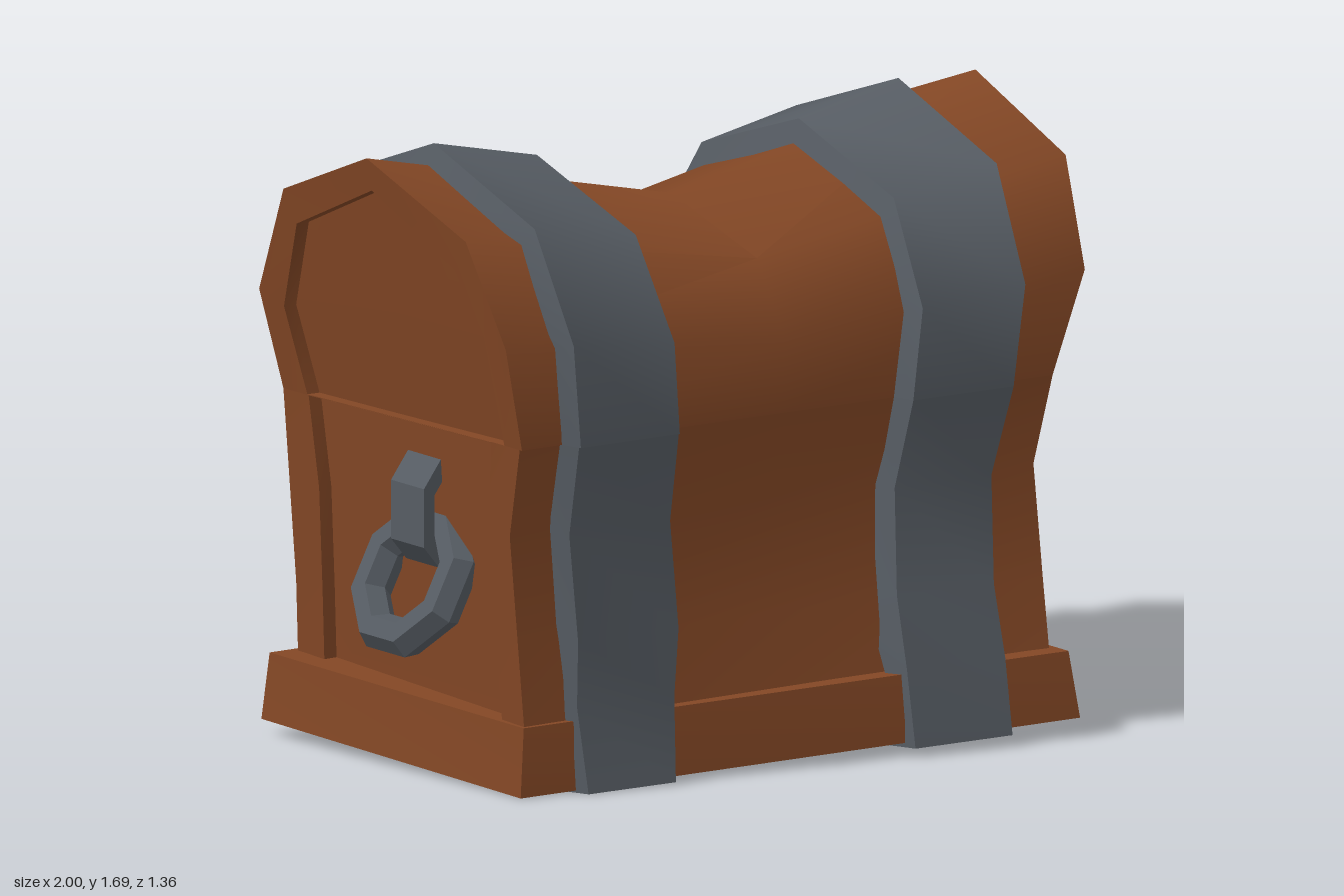
import * as THREE from 'three';
import { toCreasedNormals } from 'three/addons/utils/BufferGeometryUtils.js';

// Linear interpolation in a small table
function table(keys, values, k) {
  if (k <= keys[0]) return values[0];
  for (let i = 1; i < keys.length; i++) {
    if (k <= keys[i]) {
      const t = (k - keys[i - 1]) / (keys[i] - keys[i - 1]);
      return values[i - 1] + (values[i] - values[i - 1]) * t;
    }
  }
  return values[values.length - 1];
}

// Skin closed loops of [x, y, z] points and cap both ends
function loft(loops, crease = 0.9) {
  const n = loops[0].length, pos = [], index = [];
  loops.forEach((loop) => loop.forEach((p) => pos.push(...p)));
  for (let k = 0; k < loops.length - 1; k++) {
    for (let i = 0; i < n; i++) {
      const j = (i + 1) % n;
      const a = k * n + i, b = k * n + j, c = b + n, d = a + n;
      index.push(a, d, c, a, c, b);
    }
  }
  [0, loops.length - 1].forEach((k) => {
    const centre = pos.length / 3;
    for (let axis = 0; axis < 3; axis++) {
      pos.push(loops[k].reduce((sum, p) => sum + p[axis], 0) / n);
    }
    for (let i = 0; i < n; i++) {
      const a = k * n + i, b = k * n + ((i + 1) % n);
      if (k === 0) index.push(centre, a, b);
      else index.push(centre, b, a);
    }
  });
  const g = new THREE.BufferGeometry();
  g.setAttribute('position', new THREE.Float32BufferAttribute(pos, 3));
  g.setIndex(index);
  return toCreasedNormals(g, crease);
}

// Profiles as [z, y], running from the front over to the back
const LID = {
  left: [[0.5, 0.97], [0.5, 1.25], [0.38, 1.53], [-0.03, 1.69], [-0.45, 1.53], [-0.63, 1.22], [-0.59, 0.95]],
  mid: [[0.48, 0.96], [0.49, 1.16], [0.36, 1.36], [-0.03, 1.47], [-0.4, 1.36], [-0.54, 1.15], [-0.55, 0.94]],
  right: [[0.55, 0.97], [0.57, 1.25], [0.42, 1.53], [-0.03, 1.68], [-0.45, 1.53], [-0.645, 1.22], [-0.61, 0.93]],
  panel: [[0.47, 0.97], [0.475, 1.27], [0.35, 1.44], [-0.03, 1.59], [-0.41, 1.44], [-0.54, 1.19], [-0.5, 0.93]],
};
const BODY = {
  left: [[0.44, 0.18], [0.43, 0.42], [0.42, 0.72], [0.49, 0.97], [-0.59, 0.95], [-0.585, 0.7], [-0.58, 0.42], [-0.59, 0.18]],
  mid: [[0.51, 0.18], [0.48, 0.42], [0.44, 0.72], [0.48, 0.96], [-0.55, 0.94], [-0.55, 0.7], [-0.56, 0.42], [-0.6, 0.18]],
  right: [[0.6, 0.2], [0.55, 0.42], [0.485, 0.72], [0.55, 0.97], [-0.61, 0.93], [-0.595, 0.7], [-0.6, 0.42], [-0.62, 0.2]],
  panel: [[0.5, 0.2], [0.45, 0.42], [0.39, 0.74], [0.42, 0.97], [-0.495, 0.93], [-0.46, 0.7], [-0.48, 0.42], [-0.5, 0.2]],
};

// Distance of the flared chest end from the centre at height y
const endX = (side, y) => table([0.2, 0.96, 1.22, 1.53, 1.69],
  side < 0 ? [0.82, 0.87, 0.92, 0.97, 1] : [0.79, 0.83, 0.92, 0.97, 1], y);

// Wooden shell with a sunken panel at each end
function shell(p) {
  const inset = p.left.map(([z, y], i) => [z + p.panel[i][0] - p.right[i][0], y + p.panel[i][1] - p.right[i][1]]);
  const end = (profile, side, depth) => profile.map(([z, y]) => [side * (endX(side, y) - depth), y, z]);
  return loft([
    end(inset, -1, 0.04), end(inset, -1, 0), end(p.left, -1, 0),
    p.mid.map(([z, y]) => [0, y, z]),
    end(p.right, 1, 0), end(p.panel, 1, 0), end(p.panel, 1, 0.04),
  ]);
}

// Point [z, y] of a profile at a given x
function surface(p, i, x) {
  const end = x < 0 ? p.left[i] : p.right[i];
  const t = Math.abs(x) / endX(x, end[1]);
  return [0, 1].map((k) => p.mid[i][k] + (end[k] - p.mid[i][k]) * t);
}

// Edges of each strap at height y, as [low x, high x]
function strapEdges(side, y) {
  const keys = [0, 0.45, 0.96, 1.7];
  const inner = table(keys, side < 0 ? [0.4, 0.37, 0.39, 0.45] : [0.32, 0.31, 0.36, 0.43], y);
  const outer = table(keys, side < 0 ? [0.66, 0.69, 0.72, 0.79] : [0.61, 0.61, 0.67, 0.76], y);
  return side < 0 ? [-outer, -inner] : [inner, outer];
}

// Strap along a path; at(i, x) gives the wood surface
function strap(side, count, at) {
  const loops = [];
  for (let i = 0; i < count; i++) {
    const xm = side * 0.53;
    const here = at(i, xm), a = at(Math.max(i - 1, 0), xm), b = at(Math.min(i + 1, count - 1), xm);
    let nz = b[1] - a[1], ny = a[0] - b[0];
    if (i === 0 || i === count - 1) { nz = Math.sign(nz); ny = 0; }
    const len = Math.hypot(nz, ny);
    const [lo, hi] = strapEdges(side, here[1]);
    loops.push([[hi + 0.03, -0.04], [hi, 0.062], [lo, 0.062], [lo - 0.03, -0.04]].map(([x, off]) => {
      const [z, y, trim = 0] = at(i, x);
      const o = off > 0 ? off - trim : off;
      return [x, y + ny / len * o, z + nz / len * o];
    }));
  }
  return loft(loops);
}

// Path over the plinth and up the body, at the front or back
function bodyPath(front) {
  return (step, x) => {
    const i = front ? step : 4 - step;
    if (i > 1) return surface(BODY, front ? i - 1 : 8 - i, x);
    const t = (x + 0.84) / 1.67;
    const z = front ? 0.45 + 0.22 * t : -0.62 - 0.03 * t;
    const bottom = front ? 0.005 + 0.04 * t : 0.045;
    return i === 0 ? [z, bottom, 0.025] : [z * 0.98, 0.24, 0.045];
  };
}

function polygon(points) {
  return new THREE.Shape(points.map(([x, y]) => new THREE.Vector2(x, y)));
}

export function createModel() {
  const group = new THREE.Group();
  const wood = new THREE.MeshStandardMaterial({ color: 0x834725 });
  wood.name = 'wood';
  const iron = new THREE.MeshStandardMaterial({ color: 0x565c63 });
  iron.name = 'iron';
  const add = (name, geometry, material, parent = group) => {
    const mesh = new THREE.Mesh(geometry, material);
    mesh.name = name;
    parent.add(mesh);
    return mesh;
  };

  // Crooked plinth, body and sagging lid
  add('plinth', loft([
    [[0.83, 0.06, 0.68], [-0.84, 0.01, 0.45], [-0.92, 0.05, -0.62], [0.9, 0.06, -0.65]],
    [[0.81, 0.24, 0.655], [-0.83, 0.2, 0.45], [-0.9, 0.23, -0.61], [0.87, 0.22, -0.64]],
  ], 0.4), wood);
  add('body', shell(BODY), wood);
  add('lid', shell(LID), wood);

  // Iron straps, split at the lid seam
  for (const side of [-1, 1]) {
    const label = side < 0 ? 'right' : 'left';
    add(label + 'LidStrap', strap(side, 7, (i, x) => surface(LID, i, x)), iron);
    add(label + 'FrontStrap', strap(side, 5, bodyPath(true)), iron);
    add(label + 'BackStrap', strap(side, 5, bodyPath(false)), iron);
  }

  // Ring handles hanging from hooked brackets
  const hook = polygon([
    [0.74, 0.92], [0.83, 0.91], [0.89, 0.83], [0.89, 0.67], [0.84, 0.61], [0.8, 0.61],
    [0.8, 0.64], [0.825, 0.645], [0.855, 0.69], [0.855, 0.81], [0.81, 0.87], [0.74, 0.88],
  ]);
  for (const side of [-1, 1]) {
    const handle = new THREE.Group();
    handle.name = side < 0 ? 'rightHandle' : 'leftHandle';
    const bracket = add('bracket', new THREE.ExtrudeGeometry(hook, { depth: 0.15, bevelEnabled: false }), iron, handle);
    bracket.position.z = -0.075;
    const torus = new THREE.TorusGeometry(0.173, 0.055, 6, 8);
    torus.rotateZ(Math.PI / 8);
    torus.rotateY(Math.PI / 2);
    const ring = add('ring', toCreasedNormals(torus, 0.3), iron, handle);
    ring.position.set(0.865, 0.57, 0);
    ring.rotation.z = 0.48;
    // Half turn puts the second handle on the other end
    if (side < 0) {
      handle.rotation.y = Math.PI;
      handle.position.set(0.01, -0.04, -0.01);
    }
    group.add(handle);
  }

  // Lock on the back: pinched plate, shield and key cover
  const lock = new THREE.Group();
  lock.name = 'lock';
  const slab = (name, points, zBack, depth) => {
    const mesh = add(name, new THREE.ExtrudeGeometry(polygon(points), { depth, bevelEnabled: false }), iron, lock);
    mesh.position.z = zBack;
  };
  slab('lockPlate', [
    [-0.25, 1.16], [-0.2, 0.92], [-0.24, 0.66], [-0.12, 0.62], [0.12, 0.62], [0.24, 0.66],
    [0.2, 0.92], [0.25, 1.16], [0.12, 1.18], [-0.12, 1.18],
  ], -0.6, 0.12);
  slab('lockShield', [
    [-0.14, 1.03], [-0.14, 0.8], [-0.08, 0.71], [0.08, 0.71], [0.14, 0.8], [0.14, 1.03], [0.06, 1.06], [-0.06, 1.06],
  ], -0.615, 0.05);
  slab('keyCover', [[-0.1, 1.02], [-0.09, 0.82], [-0.04, 0.75], [0.04, 0.75], [0.09, 0.82], [0.1, 1.02]], -0.63, 0.05);
  lock.position.x = -0.03;
  group.add(lock);

  return group;
}
